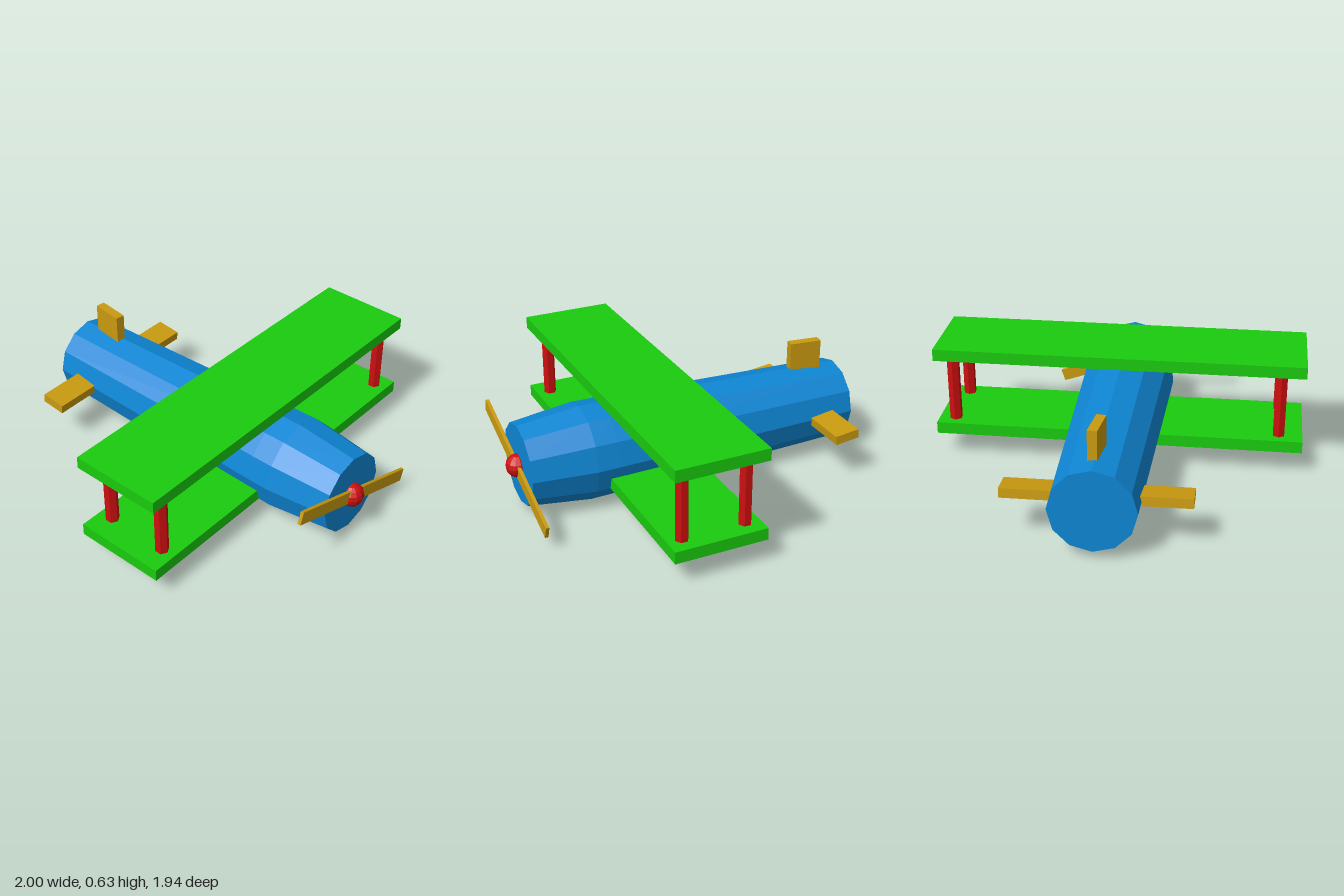
import * as THREE from 'three';

const paint = (color) => new THREE.MeshStandardMaterial({ color, flatShading: true });

export function createModel() {
  const plane = new THREE.Group();
  plane.name = 'biplane';
  const blue = paint(0x0e86d4), green = paint(0x1acb0e), red = paint(0xcc0f0f), gold = paint(0xc99a10);
  const axisY = 0.26;

  const add = (name, geometry, material, x, y, z) => {
    const mesh = new THREE.Mesh(geometry, material);
    mesh.name = name;
    mesh.position.set(x, y, z);
    plane.add(mesh);
    return mesh;
  };

  // Twelve-sided fuselage, widest behind the nose, with flat ends
  const profile = [[0, -0.97], [0.22, -0.97], [0.258, 0.44], [0.26, 0.56], [0.22, 0.9], [0, 0.9]]
    .map(([r, z]) => new THREE.Vector2(r, z));
  const body = new THREE.LatheGeometry(profile, 12).rotateX(Math.PI / 2);
  add('fuselage', body, blue, 0, axisY, 0);

  // Upper and lower wings
  const wing = new THREE.BoxGeometry(2, 0.065, 0.495);
  add('upperWing', wing, green, 0, 0.597, 0.24);
  add('lowerWing', wing, green, 0, 0.163, 0.24);

  // Hexagonal wing struts
  const strut = new THREE.CylinderGeometry(0.035, 0.035, 0.4, 6);
  for (const [side, x] of [['left', 0.909], ['right', -0.872]]) {
    add(side + 'FrontStrut', strut, red, x, 0.38, 0.41);
    add(side + 'RearStrut', strut, red, x, 0.38, 0.073);
  }

  // Propeller and hub
  const propeller = add('propeller', new THREE.BoxGeometry(0.94, 0.07, 0.018), gold, 0, 0.255, 0.916);
  propeller.rotation.z = -0.33;
  add('propellerHub', new THREE.SphereGeometry(0.064, 12, 8), red, 0, 0.255, 0.905);

  // Tailplane and fin, each set slightly askew
  const tailplane = add('tailplane', new THREE.BoxGeometry(0.948, 0.05, 0.14), gold, 0, 0.257, -0.781);
  tailplane.rotation.set(0.11, 0.008, 0);
  const fin = add('tailFin', new THREE.BoxGeometry(0.05, 0.23, 0.177), gold, 0, 0.52, -0.778);
  fin.rotation.y = -0.12;

  return plane;
}
